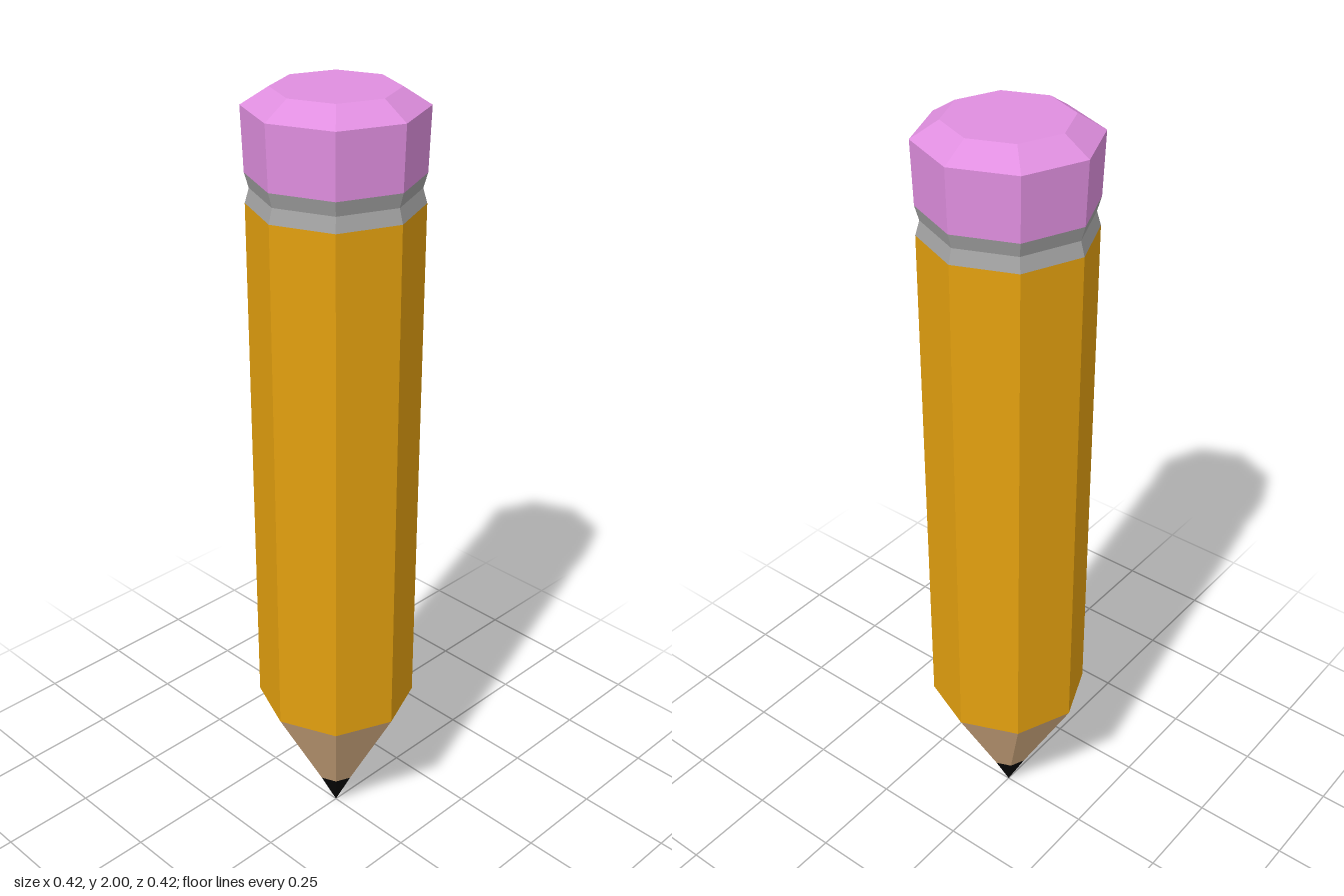
import * as THREE from 'three';

const SIDES = 8;

// One faceted ring section of the pencil, from [radius, height] pairs going up
function section(name, color, profile) {
  const points = profile.map(([r, y]) => new THREE.Vector2(r, y));
  const material = new THREE.MeshStandardMaterial({ color, flatShading: true });
  const mesh = new THREE.Mesh(new THREE.LatheGeometry(points, SIDES), material);
  mesh.name = name;
  return mesh;
}

export function createModel() {
  const pencil = new THREE.Group();
  pencil.name = 'pencil';

  pencil.add(
    // Sharpened point
    section('leadTip', 0x050505, [[0, 0], [0.055, 0.11]]),
    section('woodCone', 0xd8b084, [[0.055, 0.11], [0.204, 0.39]]),
    // Painted shaft
    section('shaft', 0xe3a00f, [[0.204, 0.39], [0.204, 1.74]]),
    // Metal band, pinched at the middle
    section('ferrule', 0xa3a3a3, [[0.204, 1.74], [0.194, 1.775], [0.204, 1.81]]),
    // Eraser with a bevelled top
    section('eraser', 0xe08fe0, [[0.204, 1.81], [0.209, 1.96], [0.145, 2], [0, 2]])
  );

  return pencil;
}
